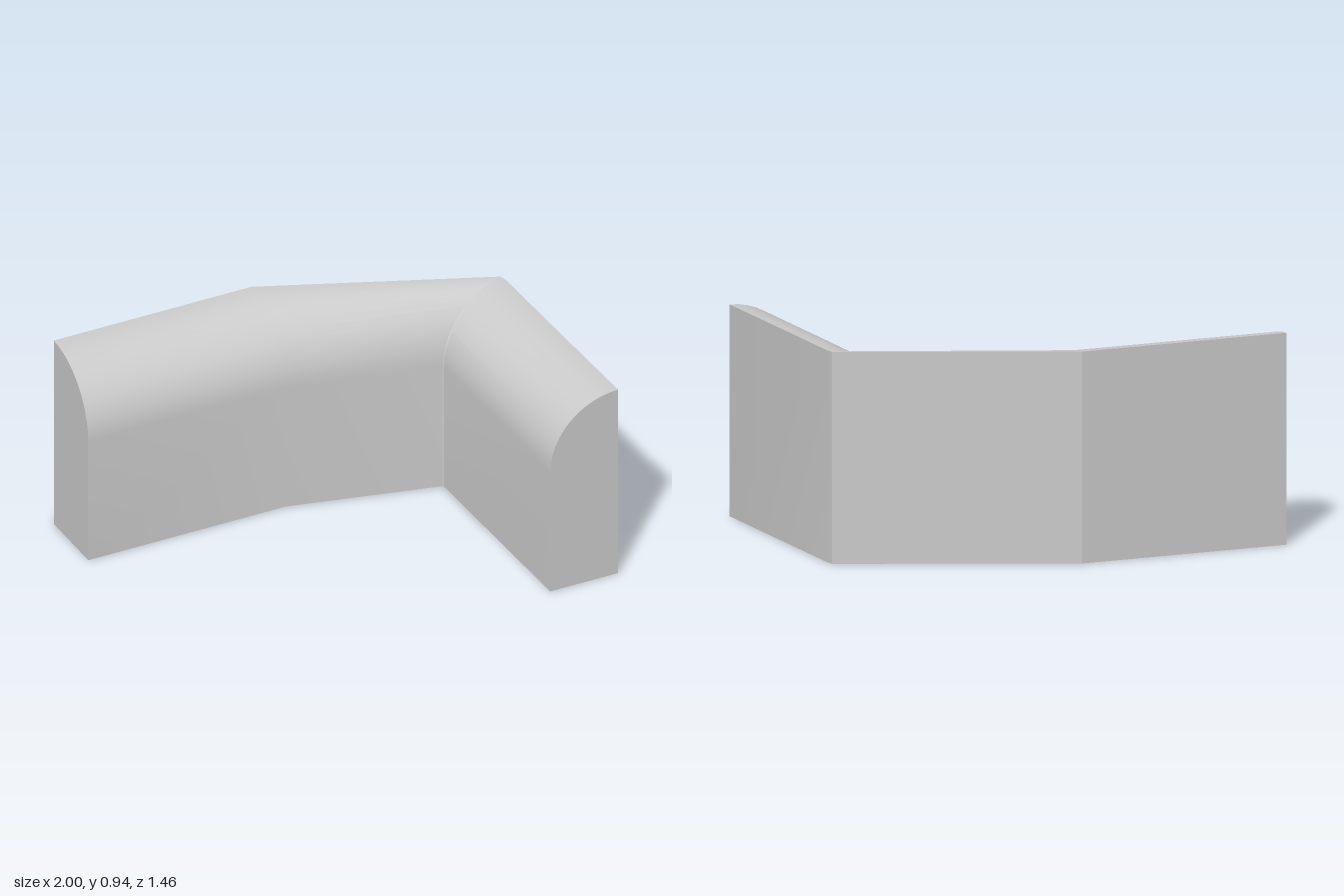
import * as THREE from 'three';
import { toCreasedNormals } from 'three/addons/utils/BufferGeometryUtils.js';

const HEIGHT = 0.94, SPRING = 0.61, STEPS = 12;

// Stations along the wall: inner and outer foot as [x, z]
const STATIONS = [
  { inner: [-1, -0.4], outer: [-1, -0.73] },
  { inner: [-0.04, -0.4], outer: [-0.04, -0.73] },
  { inner: [0.64, -0.24], outer: [0.96, -0.315] },
  { inner: [0.643, -0.235], outer: [0.967, -0.278] },
  { inner: [0.67, 0.73], outer: [1, 0.73] },
];

// Profile as [inner-to-outer fraction, height]: straight face, quarter round, back
function makeProfile() {
  const profile = [[0, 0]];
  for (let i = 0; i <= STEPS; i++) {
    const a = (i / STEPS) * Math.PI / 2;
    profile.push([1 - Math.cos(a), SPRING + (HEIGHT - SPRING) * Math.sin(a)]);
  }
  profile.push([1, 0]);
  return profile;
}

// Skin the profile through all stations and close both ends
function makeWall() {
  const profile = makeProfile(), n = profile.length;
  const positions = [], indices = [];
  for (const { inner, outer } of STATIONS) {
    for (const [t, y] of profile) {
      positions.push(
        THREE.MathUtils.lerp(inner[0], outer[0], t), y,
        THREE.MathUtils.lerp(inner[1], outer[1], t));
    }
  }
  const last = (STATIONS.length - 1) * n;
  for (let s = 0; s < last; s += n) {
    for (let j = 0; j < n; j++) {
      const k = (j + 1) % n;
      const a = s + j, b = s + k, c = b + n, d = a + n;
      indices.push(a, d, c, a, c, b);
    }
  }
  for (let j = 0; j < n - 2; j++) {
    indices.push(n - 1, j, j + 1);
    indices.push(last + n - 1, last + j + 1, last + j);
  }
  const geometry = new THREE.BufferGeometry();
  geometry.setAttribute('position', new THREE.Float32BufferAttribute(positions, 3));
  geometry.setIndex(indices);
  return toCreasedNormals(geometry, 0.3);
}

export function createModel() {
  const group = new THREE.Group();
  group.name = 'roundedCornerWall';
  const wall = new THREE.Mesh(makeWall(), new THREE.MeshStandardMaterial({ color: 0xcccccc }));
  wall.name = 'wall';
  group.add(wall);
  return group;
}
